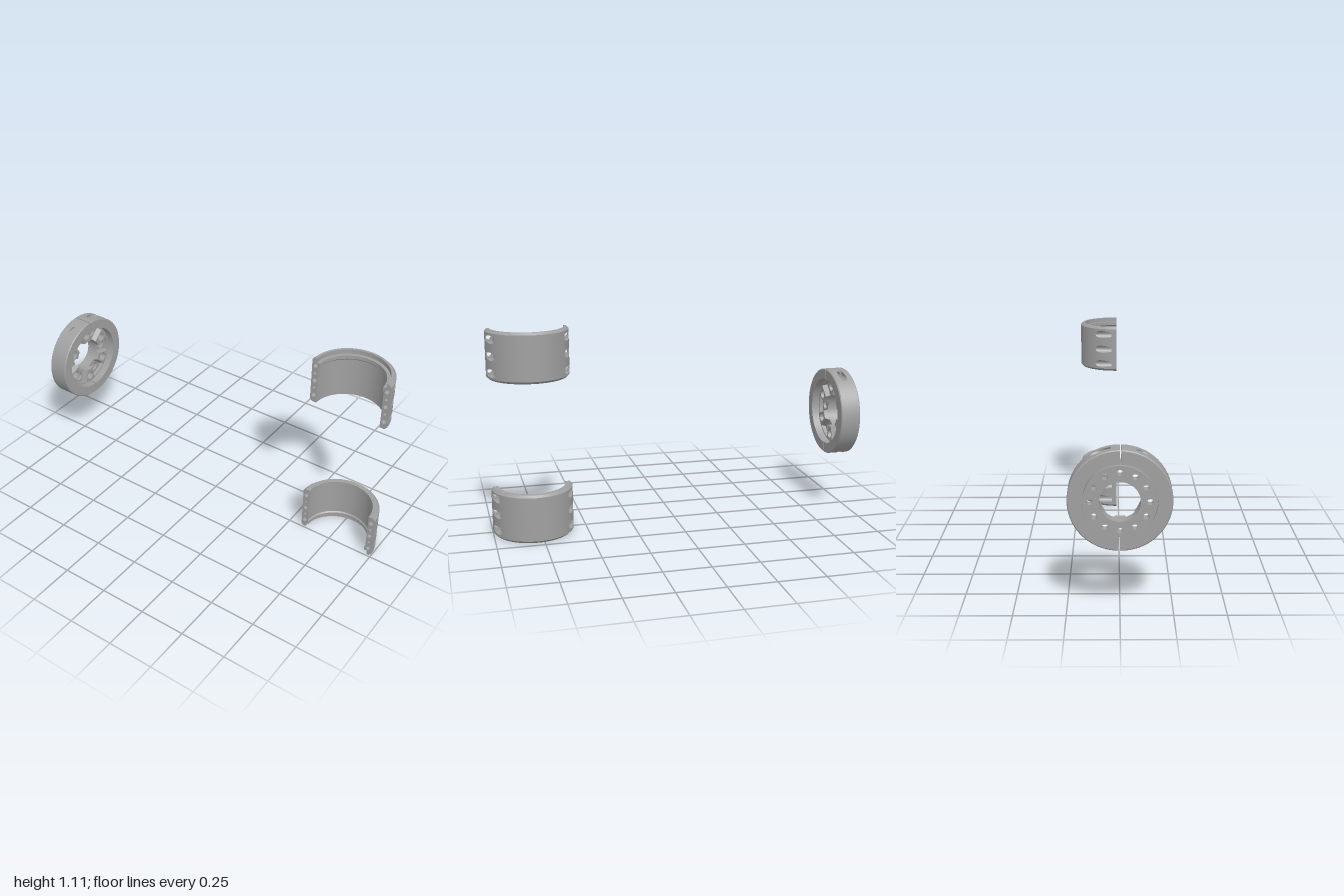
import * as THREE from 'three';
import { mergeGeometries, toCreasedNormals } from 'three/addons/utils/BufferGeometryUtils.js';

const steel = new THREE.MeshStandardMaterial({ color: 0xa0a0a0, side: THREE.DoubleSide });
steel.name = 'steel';

// Merge pieces into one mesh with smooth curves and sharp edges
function part(name, pieces) {
  const bare = pieces.map((p) => {
    const g = p.index ? p.toNonIndexed() : p;
    const out = new THREE.BufferGeometry();
    out.setAttribute('position', g.attributes.position.clone());
    return out;
  });
  const merged = mergeGeometries(bare);
  merged.scale(100, 100, 100); // creasing compares positions coarsely
  const geo = toCreasedNormals(merged, 0.5);
  geo.scale(0.01, 0.01, 0.01);
  const mesh = new THREE.Mesh(geo, steel);
  mesh.name = name;
  return mesh;
}

function circlePath(x, y, r) {
  return new THREE.Path().absarc(x, y, r, 0, Math.PI * 2, true);
}

// Half collar around the y axis (x >= 0), with screw bores running along x near both ends.
// ends = [bore at -z, bore at +z], each with bore radius r and floor position
function halfCollar(name, { R, len, bevel, inner, ys, c, hole, ends, dowels = [] }) {
  const pieces = [];
  const pos = [];
  const quad = (a, b, d, e) => pos.push(...a, ...b, ...d, ...a, ...d, ...e);

  const side = (s, { r, floor }) => {
    const zMax = Math.min(c + r, Math.sqrt(R * R - floor * floor));
    const tEnd = Math.acos(Math.min(1, (zMax - c) / r));
    const slot = [];
    for (let i = 0; i <= 16; i++) {
      const t = Math.PI + (tEnd - Math.PI) * i / 16;
      const z = c + r * Math.cos(t);
      slot.push({ phi: s * Math.asin(z / R), z, h: r * Math.sin(t) });
    }
    // bore walls, floors and screw holes
    for (const y of ys) {
      for (let i = 0; i < 16; i++) {
        const a = slot[i], b = slot[i + 1];
        for (const k of [-1, 1]) {
          quad([R * Math.cos(a.phi), y + k * a.h, s * a.z], [R * Math.cos(b.phi), y + k * b.h, s * b.z],
            [floor, y + k * b.h, s * b.z], [floor, y + k * a.h, s * a.z]);
        }
      }
      if (floor > 0) {
        const pts = [...slot.map((p) => new THREE.Vector2(s * p.z, y + p.h)),
          ...slot.slice(1).reverse().map((p) => new THREE.Vector2(s * p.z, y - p.h))];
        const disc = new THREE.Shape(pts);
        disc.holes.push(circlePath(s * c, y, hole));
        pieces.push(new THREE.ShapeGeometry(disc, 24).rotateY(-Math.PI / 2).translate(floor, 0, 0));
        pieces.push(new THREE.CylinderGeometry(hole, hole, floor, 24, 1, true)
          .rotateZ(Math.PI / 2).translate(floor / 2, y, s * c));
      }
    }
    // split face with its holes
    const outline = [[R, bevel], [R, len - bevel], [R - bevel, len], ...inner, [R - bevel, 0]];
    const face = new THREE.Shape(outline.map(([x, y]) => new THREE.Vector2(s * x, y)));
    for (const y of ys) face.holes.push(circlePath(s * c, y, floor > 0 ? hole : r));
    for (const y of dowels) {
      face.holes.push(circlePath(s * c, y, 0.007));
      pieces.push(new THREE.CylinderGeometry(0.007, 0.007, 0.02, 16, 1, true)
        .rotateZ(Math.PI / 2).translate(0.01, y, s * c));
      pieces.push(new THREE.CircleGeometry(0.007, 16).rotateY(-Math.PI / 2).translate(0.02, y, s * c));
    }
    pieces.push(new THREE.ShapeGeometry(face, 24).rotateY(-Math.PI / 2));

    const last = Math.abs(slot[16].phi);
    for (let i = 0; i <= 3; i++) slot.push({ phi: s * (last + (Math.PI / 2 - last) * i / 3), h: 0 });
    return slot;
  };

  // outer wall: columns around the axis, interrupted where the bores break out
  const lo = side(-1, ends[0]).reverse();
  const hi = side(1, ends[1]);
  const from = lo[lo.length - 1].phi, to = hi[0].phi;
  const mid = [];
  for (let i = 1; i < 28; i++) mid.push({ phi: from + (to - from) * i / 28, h: 0 });
  const cols = [...lo, ...mid, ...hi];
  const rows = (h) => [bevel, ...ys.flatMap((y) => [y - h, y + h]), len - bevel];
  const at = (phi, y) => [R * Math.cos(phi), y, R * Math.sin(phi)];
  for (let i = 0; i + 1 < cols.length; i++) {
    const a = cols[i], b = cols[i + 1];
    const ra = rows(a.h), rb = rows(b.h);
    for (let j = 0; j < ra.length; j += 2) {
      quad(at(a.phi, ra[j]), at(a.phi, ra[j + 1]), at(b.phi, rb[j + 1]), at(b.phi, rb[j]));
    }
  }
  const wall = new THREE.BufferGeometry();
  wall.setAttribute('position', new THREE.Float32BufferAttribute(pos, 3));
  pieces.push(wall);

  // bevels, rims and inside wall
  const profile = [[R, len - bevel], [R - bevel, len], ...inner, [R - bevel, 0], [R, bevel]];
  // each profile step is turned separately so its edges stay crisp
  for (let i = 0; i + 1 < profile.length; i++) {
    const pts = [profile[i], profile[i + 1]].map(([x, y]) => new THREE.Vector2(x, y));
    pieces.push(new THREE.LatheGeometry(pts, 56, 0, Math.PI));
  }
  return part(name, pieces);
}

// Flat annular plate with a circle of twelve holes, between z0 and z1
function drilledPlate(rOut, rIn, rHole, z0, z1) {
  const shape = new THREE.Shape().absarc(0, 0, rOut, 0, Math.PI * 2);
  shape.holes.push(circlePath(0, 0, rIn));
  for (let i = 0; i < 12; i++) {
    const a = i * Math.PI / 6;
    shape.holes.push(circlePath(0.137 * Math.cos(a), 0.137 * Math.sin(a), rHole));
  }
  return new THREE.ExtrudeGeometry(shape, { depth: z1 - z0, bevelEnabled: false, curveSegments: 40 })
    .translate(0, 0, z0);
}

// Raised clutch tooth with sloping flanks and one counterbore
function tooth(angle, z0, z1) {
  const half = 0.218, pts = [];
  const arc = (r, a0, a1) => {
    for (let i = 0; i <= 6; i++) {
      const a = a0 + (a1 - a0) * i / 6;
      pts.push(new THREE.Vector2(r * Math.cos(a), r * Math.sin(a)));
    }
  };
  arc(0.172, -half, half);
  arc(0.094, half, -half);
  const shape = new THREE.Shape(pts);
  shape.holes.push(circlePath(0.137, 0, 0.024));
  const g = new THREE.ExtrudeGeometry(shape, { depth: z1 - z0, bevelEnabled: false, curveSegments: 28 });
  const p = g.attributes.position;
  for (let i = 0; i < p.count; i++) {
    const a = Math.atan2(p.getY(i), p.getX(i));
    if (Math.abs(a) > 0.2 && p.getZ(i) < 1e-6) p.setY(i, p.getY(i) + Math.sign(a) * 0.011);
  }
  return g.translate(0, 0, z0).rotateZ(angle);
}

export function createModel() {
  const model = new THREE.Group();
  model.name = 'clampSet';

  // two half shells, the upper one turned over
  const shell = {
    R: 0.215, len: 0.26, bevel: 0.012, c: 0.196, hole: 0.012,
    inner: [[0.178, 0.26], [0.178, 0.05], [0.172, 0.043], [0.172, 0.024], [0.19, 0.024], [0.19, 0]],
    ys: [0.045, 0.132, 0.219], dowels: [0.089, 0.175],
    ends: [{ r: 0.021, floor: 0.03 }, { r: 0.021, floor: 0.03 }],
  };
  const lower = halfCollar('lowerHalfShell', shell);
  lower.position.set(0.01, 0, 0.785);
  const upper = halfCollar('upperHalfShell', shell);
  upper.rotation.x = Math.PI;
  upper.position.set(0.01, 1.105, 0.785);
  model.add(lower, upper);

  // split clamp ring around the hub
  const ring = new THREE.Group();
  ring.name = 'clampRing';
  ring.position.set(0, 0.555, 0);
  ring.rotation.z = 0.013;
  for (const [name, turn] of [['leftRingHalf', 0], ['rightRingHalf', Math.PI]]) {
    const half = halfCollar(name, {
      R: 0.239, len: 0.11, bevel: 0.005, c: 0.217, hole: 0.012,
      inner: [[0.182, 0.11], [0.182, 0.02], [0.172, 0.02], [0.172, 0]],
      ys: [0.055], ends: [{ r: 0.021, floor: 0.04 }, { r: 0.012, floor: 0 }],
    });
    half.rotation.x = Math.PI / 2;
    half.position.set(0.003, 0, -0.99);
    const holder = new THREE.Group();
    holder.name = name + 'Holder';
    holder.rotation.z = turn;
    holder.add(half);
    ring.add(holder);
  }
  model.add(ring);

  // hub: drilled back plate, counterbored face, rim and six teeth
  const hub = new THREE.Group();
  hub.name = 'hub';
  hub.position.set(0, 0.555, 0);
  hub.add(part('hubBackPlate', [drilledPlate(0.17, 0.094, 0.014, -1.0, -0.957)]));
  hub.add(part('hubFace', [drilledPlate(0.181, 0.094, 0.024, -0.957, -0.942)]));
  const rim = new THREE.Shape().absarc(0, 0, 0.181, 0, Math.PI * 2);
  rim.holes.push(circlePath(0, 0, 0.173));
  hub.add(part('hubRim', [new THREE.ExtrudeGeometry(rim,
    { depth: 0.022, bevelEnabled: false, curveSegments: 48 }).translate(0, 0, -0.942)]));
  for (let i = 0; i < 6; i++) {
    hub.add(part('clutchTooth', [tooth(Math.PI / 6 + i * Math.PI / 3, -0.942, -0.915)]));
  }
  model.add(hub);
  return model;
}
